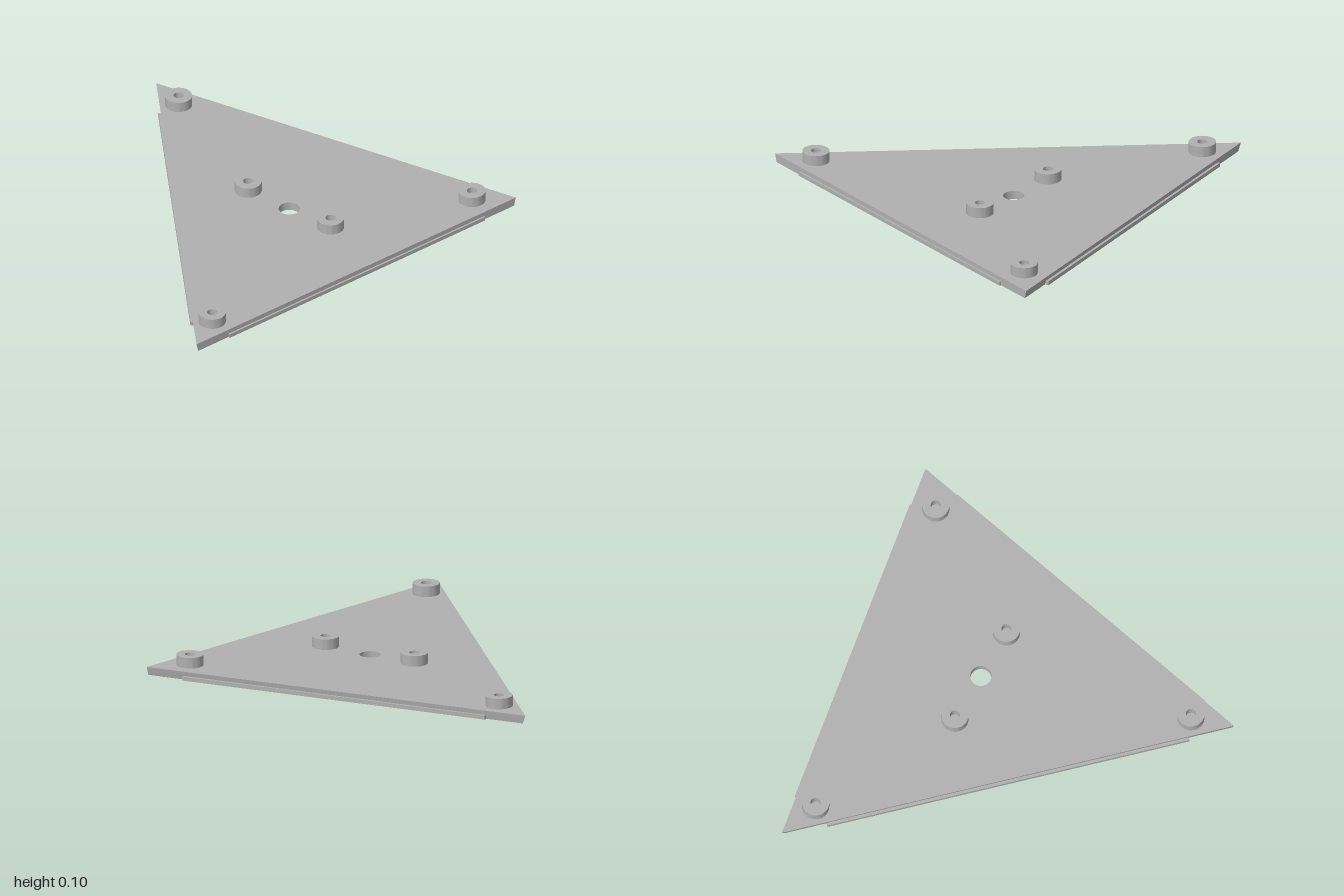
import * as THREE from 'three';
import { toCreasedNormals } from 'three/addons/utils/BufferGeometryUtils.js';

const PLATE_TOP = 0.043;
const BOSS_TOP = 0.097;
const LIP_HEIGHT = 0.02;

// Plate corners as [x, z]: top outline, and the bottom outline of its two undercut edges
const TOP = [[-0.995, 0.605], [0.99, 0.995], [0.635, -1]];
const BOTTOM = [[-0.984, 0.607], [0.979, 0.993], [0.632, -0.983]];
const HOLE = [0.208, 0.2];

function plateGeometry() {
  const shape = new THREE.Shape(TOP.map(([x, z]) => new THREE.Vector2(x, -z)));
  const hole = new THREE.Path();
  hole.absarc(HOLE[0], -HOLE[1], 0.052, 0, Math.PI * 2, true);
  shape.holes.push(hole);
  const geo = new THREE.ExtrudeGeometry(shape, { depth: PLATE_TOP, bevelEnabled: false, curveSegments: 24 });
  geo.rotateX(-Math.PI / 2);
  // Pull the lower corners inwards
  const pos = geo.attributes.position;
  for (let i = 0; i < pos.count; i++) {
    if (pos.getY(i) > PLATE_TOP / 2) continue;
    const k = TOP.findIndex(([x, z]) => Math.hypot(pos.getX(i) - x, pos.getZ(i) - z) < 1e-3);
    if (k >= 0) pos.setXYZ(i, BOTTOM[k][0], pos.getY(i), BOTTOM[k][1]);
  }
  return toCreasedNormals(geo, 0.6);
}

function bossGeometry() {
  const profile = [[0.067, PLATE_TOP], [0.067, BOSS_TOP], [0.025, BOSS_TOP], [0.025, PLATE_TOP]];
  const geo = new THREE.LatheGeometry(profile.map(([r, y]) => new THREE.Vector2(r, y)), 40);
  return toCreasedNormals(geo, 0.6);
}

export function createModel() {
  const model = new THREE.Group();
  model.name = 'triangularPlate';
  const grey = new THREE.MeshStandardMaterial({ color: 0xb0b0b0 });
  grey.name = 'grey';

  const add = (name, geometry) => {
    const mesh = new THREE.Mesh(geometry, grey);
    mesh.name = name;
    model.add(mesh);
    return mesh;
  };

  add('plate', plateGeometry());

  // Low lips standing proud of the middle of each edge
  const names = ['frontLip', 'leftLip', 'rightLip'];
  TOP.forEach(([x0, z0], i) => {
    const [x1, z1] = TOP[(i + 1) % 3];
    const dx = x1 - x0, dz = z1 - z0;
    const length = Math.hypot(dx, dz);
    const lip = add(names[i], new THREE.BoxGeometry(length * 0.8, LIP_HEIGHT, 0.04));
    // Outward direction of the edge is (-dz, dx)
    const offset = -0.01 / length;
    lip.position.set(
      x0 + dx * (i === 1 ? 0.495 : 0.5) - dz * offset,
      LIP_HEIGHT / 2,
      z0 + dz * (i === 1 ? 0.495 : 0.5) + dx * offset
    );
    lip.rotation.y = -Math.atan2(dz, dx);
  });

  // Hollow bosses near the corners and either side of the hole
  const boss = bossGeometry();
  const bosses = {
    backBoss: [0.562, -0.797],
    rightBoss: [-0.79, 0.535],
    leftBoss: [0.84, 0.84],
    innerBackBoss: [0.204, -0.058],
    innerFrontBoss: [0.214, 0.458],
  };
  for (const [name, [x, z]] of Object.entries(bosses)) add(name, boss).position.set(x, 0, z);

  return model;
}
